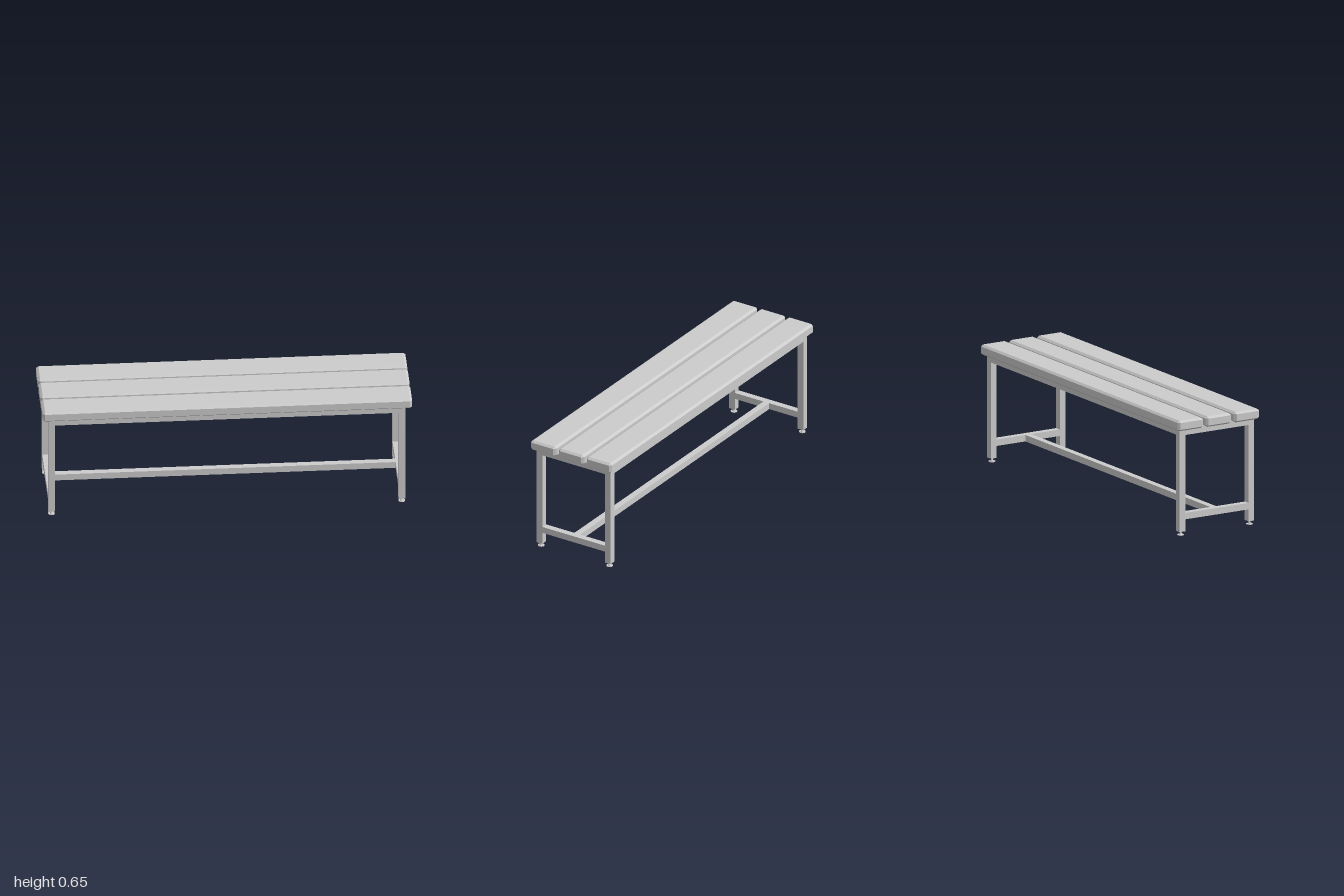
import * as THREE from 'three';
import { ConvexGeometry } from 'three/addons/geometries/ConvexGeometry.js';

const material = new THREE.MeshStandardMaterial({ color: 0xcccccc });
const flatMaterial = new THREE.MeshStandardMaterial({ color: 0xcccccc, flatShading: true });

const TUBE = 0.037;            // square tube width
const LEG_X = 0.948, LEG_Z = 0.2205;
const RAIL_Y = 0.5765, LOW_Y = 0.1065;

function add(parent, name, geometry, x, y, z, mat = material) {
  const mesh = new THREE.Mesh(geometry, mat);
  mesh.name = name;
  mesh.position.set(x, y, z);
  parent.add(mesh);
  return mesh;
}

const box = (w, h, d) => new THREE.BoxGeometry(w, h, d);

// Box with every edge and corner chamfered
function chamferedBox(w, h, d, side, top) {
  const points = [];
  for (const sx of [-1, 1]) for (const sy of [-1, 1]) for (const sz of [-1, 1]) {
    const x = w / 2, y = h / 2, z = d / 2;
    points.push(
      new THREE.Vector3(sx * x, sy * (y - top), sz * (z - side)),
      new THREE.Vector3(sx * (x - side), sy * y, sz * (z - side)),
      new THREE.Vector3(sx * (x - side), sy * (y - top), sz * z)
    );
  }
  return new ConvexGeometry(points);
}

// Levelling foot: flat disc with a tapered neck and thin stem
function footGeometry() {
  const profile = [
    [0, 0], [0.018, 0], [0.018, 0.004], [0.009, 0.004], [0.003, 0.019], [0.003, 0.024]
  ];
  return new THREE.LatheGeometry(profile.map(([r, y]) => new THREE.Vector2(r, y)), 24);
}

export function createModel() {
  const bench = new THREE.Group();
  bench.name = 'bench';

  // Seat slats
  const slatGeometry = chamferedBox(2, 0.058, 0.163, 0.013, 0.01);
  for (const z of [-0.179, 0, 0.18]) add(bench, 'seatSlat', slatGeometry, 0, 0.619, z, flatMaterial);

  // Frame, set slightly off the centre of the seat
  const frame = new THREE.Group();
  frame.name = 'frame';
  frame.position.set(-0.0025, 0, 0.0035);
  bench.add(frame);

  const legGeometry = box(TUBE, 0.562, TUBE);
  const capGeometry = box(TUBE, 0.01, TUBE);
  const foot = footGeometry();
  const crossRail = box(TUBE, 0.036, 2 * LEG_Z - TUBE);
  const longRail = box(2 * LEG_X - TUBE, 0.036, TUBE);

  for (const sx of [-1, 1]) {
    const x = sx * LEG_X;
    // Legs with end caps and feet
    for (const sz of [-1, 1]) {
      const z = sz * LEG_Z;
      add(frame, 'leg', legGeometry, x, 0.313, z);
      add(frame, 'legCap', capGeometry, x, 0.027, z);
      add(frame, 'foot', foot, x, 0, z, flatMaterial);
    }
    // End rails
    add(frame, 'topEndRail', crossRail, x, RAIL_Y, 0);
    add(frame, 'lowerEndRail', crossRail, x, LOW_Y, 0);
  }

  // Long rails under the seat and the central stretcher
  for (const sz of [-1, 1]) add(frame, 'topLongRail', longRail, 0, RAIL_Y, sz * LEG_Z);
  add(frame, 'stretcher', longRail, 0, LOW_Y, 0);

  return bench;
}
